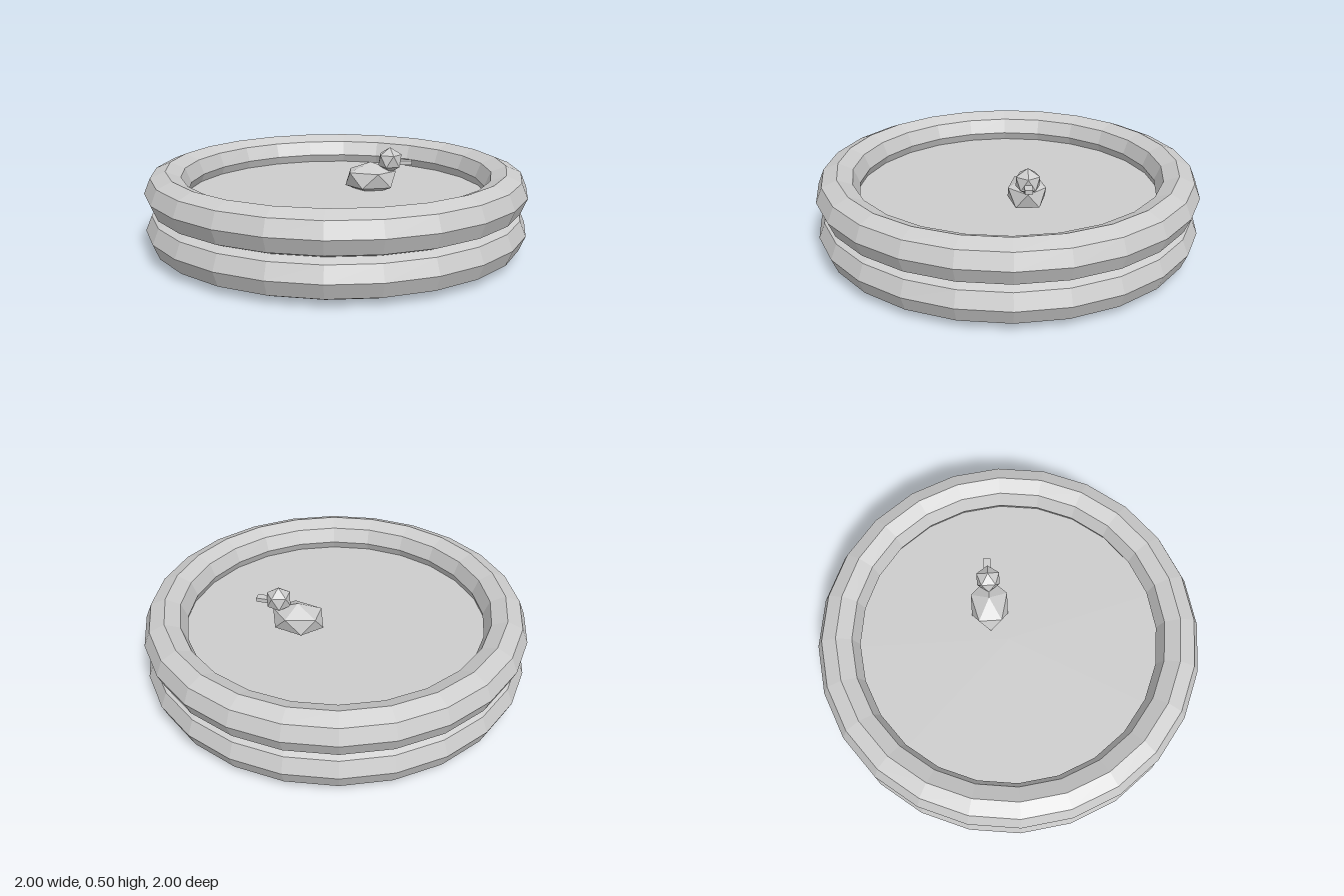
import * as THREE from 'three';

export function createModel() {
  const group = new THREE.Group();
  const grey = new THREE.MeshStandardMaterial({ color: 0xcccccc, flatShading: true });
  grey.name = 'plain grey';

  const add = (name, geometry, x, y, z, parent = group) => {
    const mesh = new THREE.Mesh(geometry, grey);
    mesh.name = name;
    mesh.position.set(x, y, z);
    parent.add(mesh);
    return mesh;
  };

  // Two stacked inflatable rings, octagonal in section
  const ring = new THREE.TorusGeometry(0.89, 0.11, 8, 24).rotateX(Math.PI / 2);
  add('lowerRing', ring, 0, 0.12, 0);
  add('upperRing', ring, 0, 0.315, 0);

  // Pool floor and water surface
  add('poolFloor', new THREE.CylinderGeometry(0.86, 0.86, 0.03, 24), 0, 0.015, 0);
  add('water', new THREE.CylinderGeometry(0.82, 0.82, 0.02, 24), 0, 0.26, 0);

  // Icosahedron standing on one corner, with an upper-ring corner towards +x
  const pointedBall = (rx, ry, rz) =>
    new THREE.IcosahedronGeometry(1, 0)
      .rotateX(-Math.atan((1 + Math.sqrt(5)) / 2))
      .rotateY(Math.PI / 2)
      .scale(rx, ry, rz);

  // Floating toy duck, looking towards +x
  const duck = new THREE.Group();
  duck.name = 'toyDuck';
  duck.position.z = -0.092;
  group.add(duck);
  add('duckBody', pointedBall(0.152, 0.09, 0.113), 0.18, 0.33, 0, duck);
  add('duckHead', pointedBall(0.07, 0.07, 0.07), 0.283, 0.43, 0, duck);
  add('duckBeak', new THREE.BoxGeometry(0.08, 0.022, 0.04), 0.36, 0.42, 0, duck);

  return group;
}
